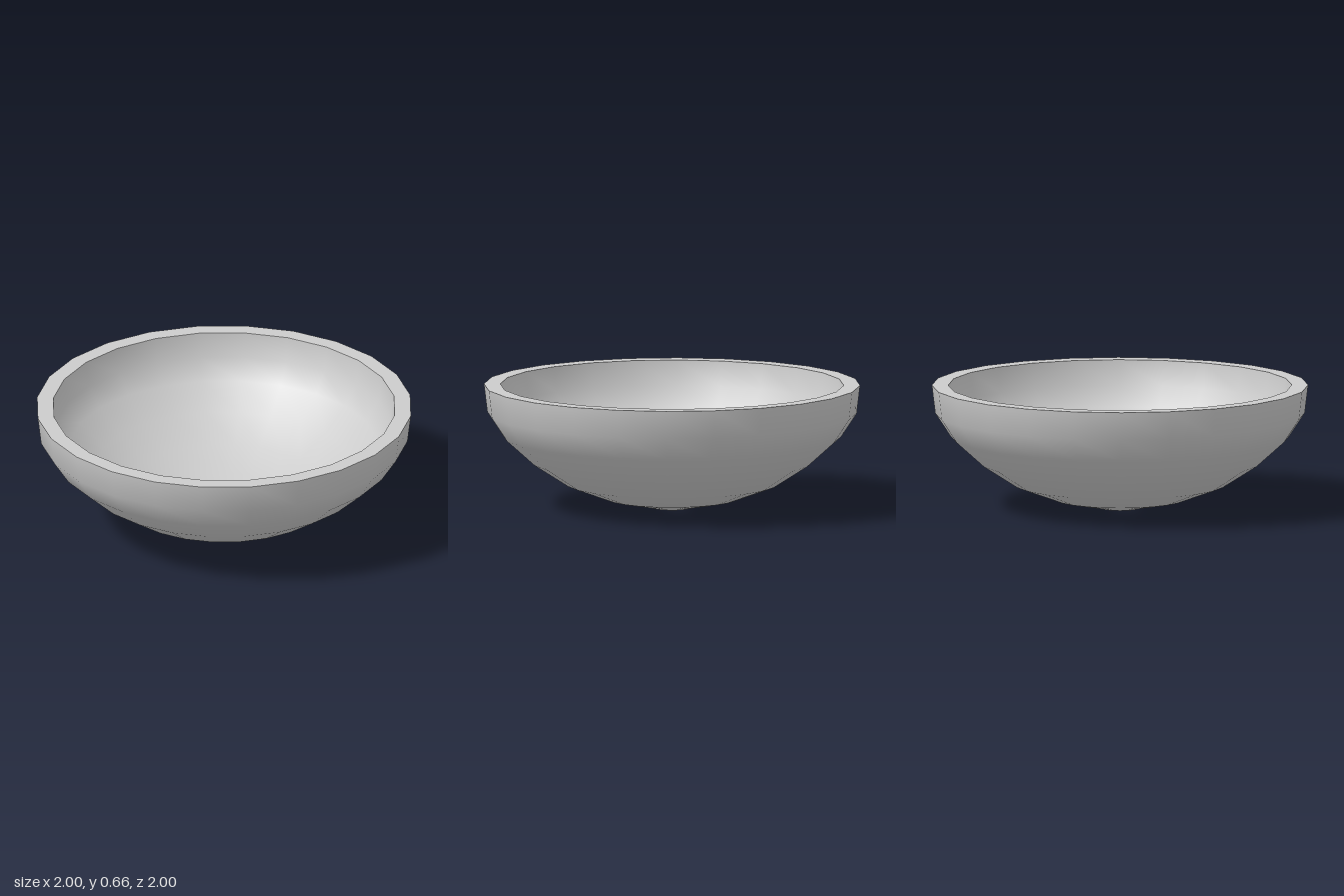
import * as THREE from 'three';

const SIDES = 24;

export function createModel() {
  const group = new THREE.Group();
  group.name = 'basin';
  const material = new THREE.MeshStandardMaterial({ color: 0xcccccc });

  // Each surface is its own lathe, so the edges between them stay sharp.
  const addSurface = (name, profile) => {
    const points = profile.map(([r, y]) => new THREE.Vector2(r, y));
    const mesh = new THREE.Mesh(new THREE.LatheGeometry(points, SIDES), material);
    mesh.name = name;
    group.add(mesh);
  };

  // Profiles as [radius, height], running up the outside and down the inside
  const outer = [
    [0.106, 0], [0.115, 0.004], [0.35, 0.05], [0.565, 0.13],
    [0.75, 0.25], [0.9, 0.385], [0.982, 0.51], [1, 0.66],
  ];
  const inner = [
    [0.913, 0.66], [0.895, 0.525], [0.82, 0.42], [0.685, 0.3],
    [0.515, 0.19], [0.32, 0.115], [0.106, 0.075],
  ];

  addSurface('outerShell', outer);
  addSurface('rim', [outer.at(-1), inner[0]]);
  addSurface('innerBowl', inner);
  addSurface('drainHole', [inner.at(-1), outer[0]]);

  return group;
}
